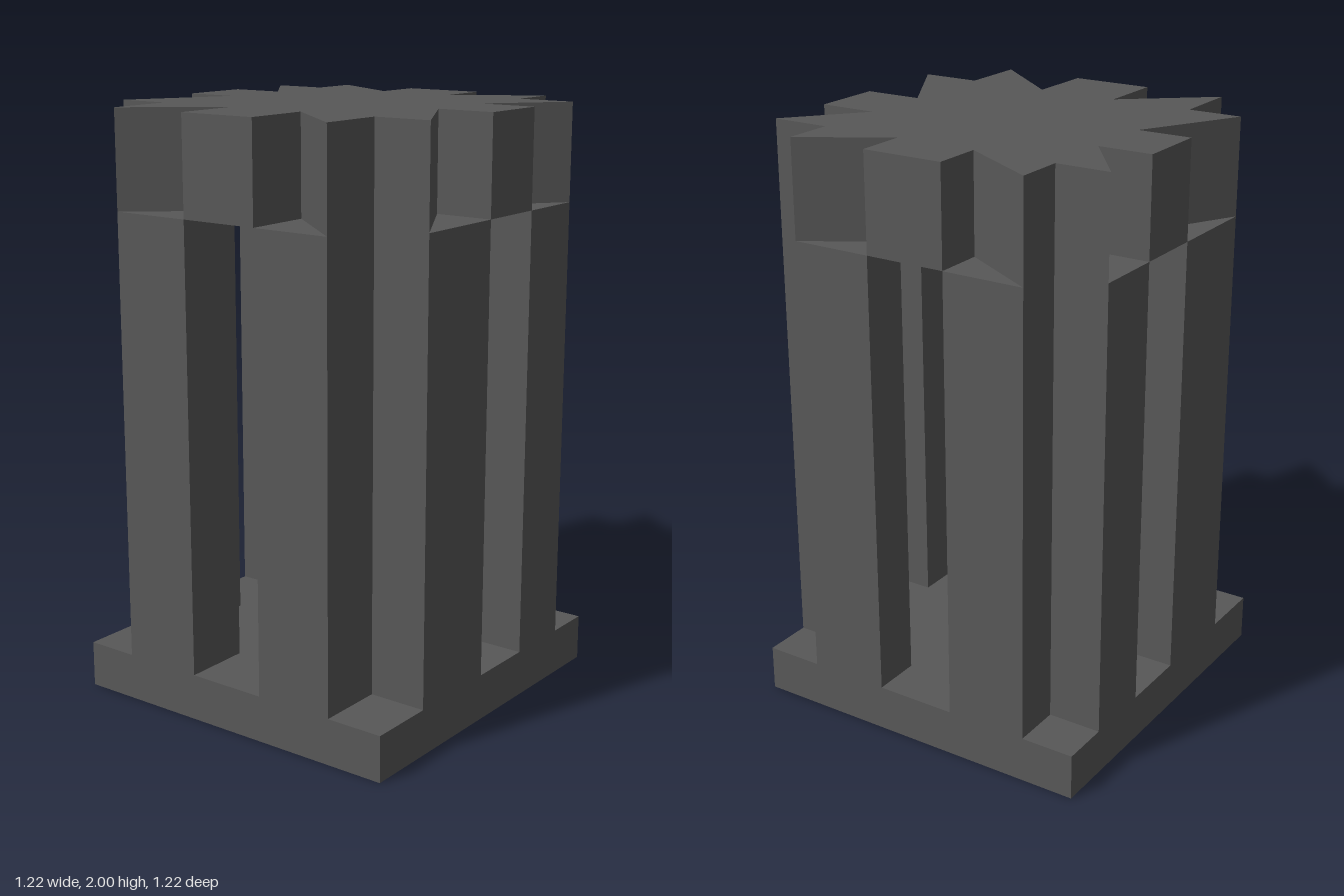
import * as THREE from 'three';

const HALF = 0.612, BASE = 0.157, EAVE = 1.672, TOP = 2;
// grid lines that divide the plan: outer edge, notch, opening, opening, notch, outer edge
const X = [-HALF, -0.38, -0.042, 0.202, 0.444, HALF];
const Z = [-HALF, -0.428, -0.145, 0.134, 0.412, HALF];

const material = new THREE.MeshStandardMaterial({ color: 0x585858, flatShading: true });
const thinMaterial = new THREE.MeshStandardMaterial({ color: 0x585858, flatShading: true, side: THREE.DoubleSide });

function block(name, x0, x1, y0, y1, z0, z1) {
  const mesh = new THREE.Mesh(new THREE.BoxGeometry(x1 - x0, y1 - y0, z1 - z0), material);
  mesh.position.set((x0 + x1) / 2, (y0 + y1) / 2, (z0 + z1) / 2);
  mesh.name = name;
  return mesh;
}

export function createModel() {
  const model = new THREE.Group();
  model.name = 'starRoofedPavilion';

  // Square plinth
  model.add(block('base', -HALF, HALF, 0, BASE, -HALF, HALF));

  // Eight posts, two on each side, meeting edge to edge at the notched corners
  const posts = new THREE.Group();
  posts.name = 'posts';
  for (const edge of [0, 4]) {
    for (const slot of [1, 3]) {
      posts.add(block('frontBackPost', X[slot], X[slot + 1], BASE, EAVE, Z[edge], Z[edge + 1]));
      posts.add(block('sidePost', X[edge], X[edge + 1], BASE, EAVE, Z[slot], Z[slot + 1]));
    }
  }
  model.add(posts);

  // Star outline as pairs of grid indices, running round from the back left
  const outline = [
    [1, 0], [2, 1], [2, 0], [3, 0], [3, 1], [4, 0], [4, 1],
    [5, 1], [4, 2], [5, 2], [5, 3], [4, 3], [5, 4], [4, 4],
    [4, 5], [3, 4], [3, 5], [2, 5], [2, 4], [1, 5], [1, 4],
    [0, 4], [1, 3], [0, 3], [0, 2], [1, 2], [0, 1], [1, 1],
  ].map(([i, j]) => [X[i], Z[j]]);

  // Flat star-shaped roof
  const shape = new THREE.Shape(outline.map(([x, z]) => new THREE.Vector2(x, -z)));
  const roof = new THREE.Mesh(new THREE.ShapeGeometry(shape).rotateX(-Math.PI / 2), thinMaterial);
  roof.position.y = TOP;
  roof.name = 'roof';
  model.add(roof);

  // Thin walls hanging from the roof, open underneath
  const corners = [];
  outline.forEach(([ax, az], i) => {
    const [bx, bz] = outline[(i + 1) % outline.length];
    corners.push(ax, EAVE, az, ax, TOP, az, bx, TOP, bz);
    corners.push(ax, EAVE, az, bx, TOP, bz, bx, EAVE, bz);
  });
  const wallGeometry = new THREE.BufferGeometry();
  wallGeometry.setAttribute('position', new THREE.Float32BufferAttribute(corners, 3));
  wallGeometry.computeVertexNormals();
  const walls = new THREE.Mesh(wallGeometry, thinMaterial);
  walls.name = 'roofWalls';
  model.add(walls);

  return model;
}
